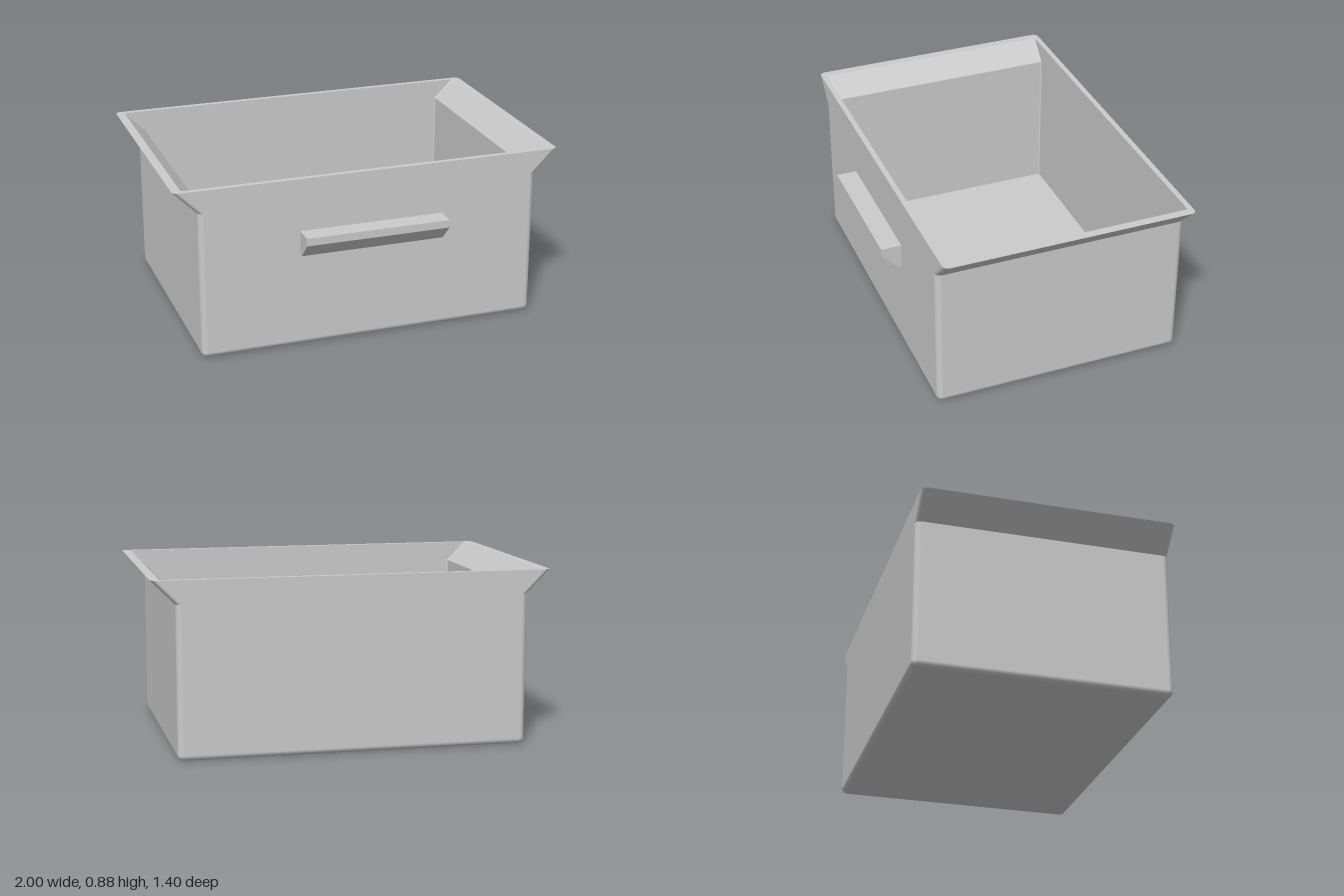
import * as THREE from 'three';

const material = new THREE.MeshStandardMaterial({ color: 0xcccccc });
const Z_MID = -0.0525, HX = 0.88, HZ = 0.6475, R = 0.03, H = 0.885;
const RIM_Y = 0.765, WALL = 0.028, FLOOR = 0.03, SEG = 8;

// Rounded rectangle at height y. The normal is (out * c, up + flare * |c|, out * s)
// for a corner direction (c, s), so flared sides and straight walls blend exactly.
const ring = (hx, hz, r, y, out, up, flare = 0) => ({ hx, hz, r, y, out, up, flare });

// Skin a series of rings.
function loft(rings) {
  const pos = [], nor = [], idx = [];
  const n = 4 * (SEG + 1);
  for (const g of rings) {
    for (let k = 0; k < 4; k++) {
      const sx = k === 0 || k === 3 ? 1 : -1, sz = k < 2 ? 1 : -1;
      for (let i = 0; i <= SEG; i++) {
        const a = (k + i / SEG) * Math.PI / 2, c = Math.cos(a), s = Math.sin(a);
        pos.push(sx * (g.hx - g.r) + c * g.r, g.y, Z_MID + sz * (g.hz - g.r) + s * g.r);
        const v = new THREE.Vector3(g.out * c, g.up + g.flare * Math.abs(c), g.out * s).normalize();
        nor.push(v.x, v.y, v.z);
      }
    }
  }
  for (let j = 0; j < rings.length - 1; j++) {
    for (let i = 0; i < n; i++) {
      const a = j * n + i, b = j * n + (i + 1) % n;
      idx.push(a, a + n, b, b, a + n, b + n);
    }
  }
  const geo = new THREE.BufferGeometry();
  geo.setAttribute('position', new THREE.Float32BufferAttribute(pos, 3));
  geo.setAttribute('normal', new THREE.Float32BufferAttribute(nor, 3));
  geo.setIndex(idx);
  return geo;
}

export function createModel() {
  const model = new THREE.Group();
  const add = (name, geo) => {
    const mesh = new THREE.Mesh(geo, material);
    mesh.name = name;
    model.add(mesh);
    return mesh;
  };

  // Outer shell: rounded bottom edge, then straight walls
  const shell = [];
  for (let i = 0; i <= SEG; i++) {
    const t = (i / SEG) * Math.PI / 2, c = Math.cos(t), s = Math.sin(t);
    const inset = R * (1 - s);
    shell.push(ring(HX - inset, HZ - inset, R - inset, R * (1 - c), s, -c));
  }
  shell.push(ring(HX, HZ, R, RIM_Y, 1, 0));
  add('outerWalls', loft(shell));

  // Side flanges leaning outward
  const slope = (1 - HX) / (H - RIM_Y);
  add('outerFlare', loft([
    ring(HX, HZ, R, RIM_Y, 1, 0, -slope),
    ring(1, HZ, R, H, 1, 0, -slope),
  ]));

  // Flat rim and inside faces
  const ix = HX - WALL, iz = HZ - WALL, ir = 0.008, topX = 0.955, innerY = 0.783;
  const innerSlope = (topX - ix) / (H - innerY);
  add('rim', loft([ring(1, HZ, R, H, 0, 1), ring(topX, iz, ir, H, 0, 1)]));
  add('innerFlare', loft([
    ring(topX, iz, ir, H, -1, 0, innerSlope),
    ring(ix, iz, ir, innerY, -1, 0, innerSlope),
  ]));
  add('innerWalls', loft([
    ring(ix, iz, ir, innerY, -1, 0),
    ring(ix, iz, ir, FLOOR, -1, 0),
  ]));

  // Floor seen from inside and from below
  const floor = add('innerFloor', new THREE.PlaneGeometry(2 * ix, 2 * iz).rotateX(-Math.PI / 2));
  floor.position.set(0, FLOOR, Z_MID);
  const base = add('base', new THREE.PlaneGeometry(2 * (HX - R), 2 * (HZ - R)).rotateX(Math.PI / 2));
  base.position.set(0, 0, Z_MID);

  // Front pull: (z, y) section swept along x
  const section = new THREE.Shape([
    [0.59, 0.49], [0.617, 0.49], [0.7, 0.575], [0.7, 0.615], [0.59, 0.615],
  ].map(([z, y]) => new THREE.Vector2(-z, y)));
  const handle = new THREE.ExtrudeGeometry(section, { depth: 0.744, bevelEnabled: false });
  handle.translate(0, 0, -0.372).rotateY(Math.PI / 2);
  add('handle', handle);

  return model;
}
